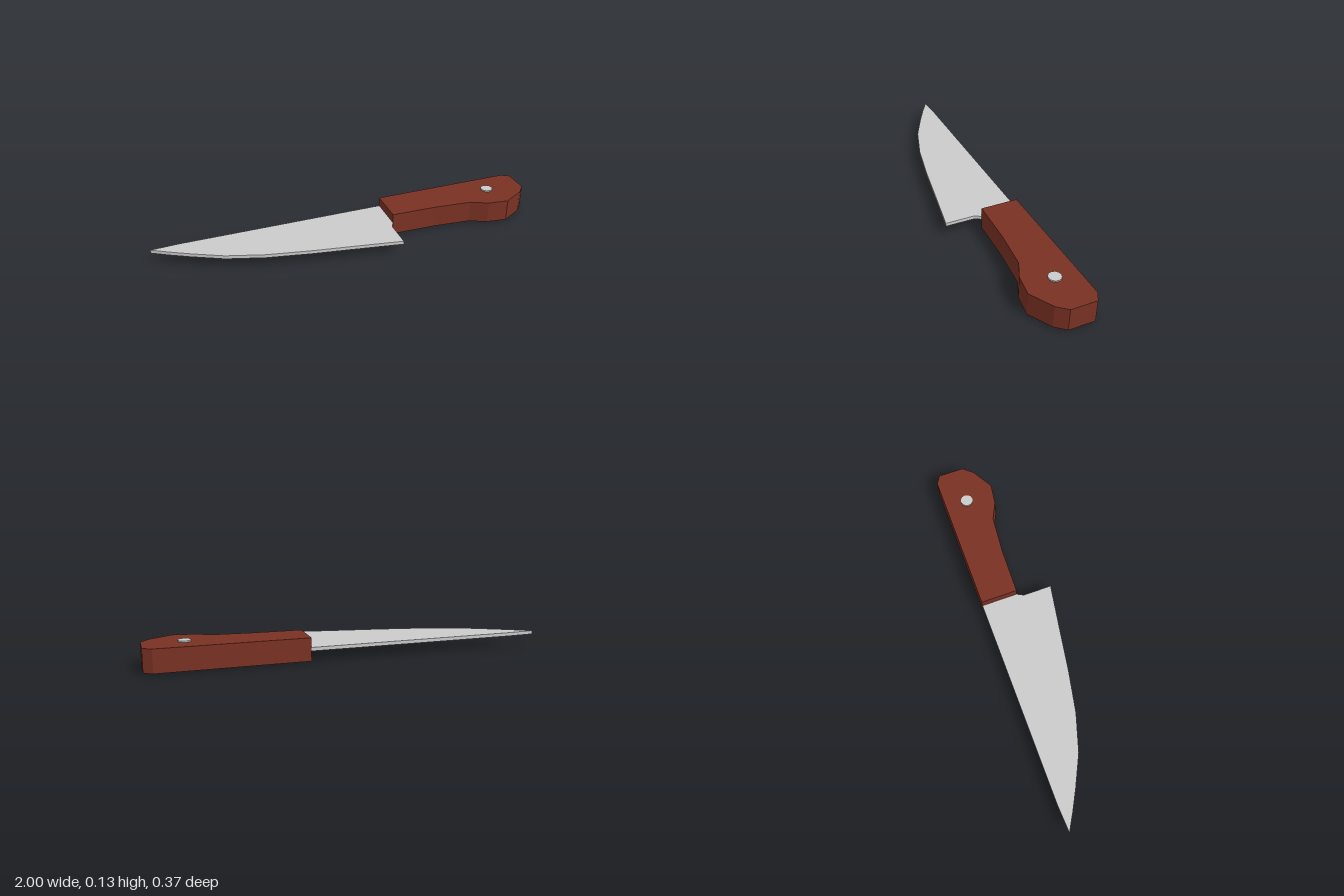
import * as THREE from 'three';

const steel = new THREE.MeshStandardMaterial({ color: 0xcccccc, flatShading: true });
const wood = new THREE.MeshStandardMaterial({ color: 0x7a3124, flatShading: true });

// Flat slab lying in the ground plane: outline is [x, z], spanning y0 to y1
function slab(name, outline, y0, y1, material) {
  const shape = new THREE.Shape(outline.map(([x, z]) => new THREE.Vector2(x, -z)));
  const geometry = new THREE.ExtrudeGeometry(shape, { depth: y1 - y0, bevelEnabled: false });
  geometry.rotateX(-Math.PI / 2);
  geometry.translate(0, y0, 0);
  const mesh = new THREE.Mesh(geometry, material);
  mesh.name = name;
  return mesh;
}

export function createModel() {
  const knife = new THREE.Group();
  knife.name = 'knife';

  // Blade: straight spine at the back, curved edge, notched heel, end hidden in the handle
  knife.add(slab('blade', [
    [-1, -0.178], [-0.86, -0.185], [0.25, -0.185], [0.25, 0.003], [0.215, 0.003],
    [0.197, 0.037], [0.197, 0.185], [-0.03, 0.145], [-0.262, 0.105], [-0.48, 0.06],
    [-0.668, 0], [-0.818, -0.075], [-0.91, -0.125],
  ], 0.057, 0.075, steel));

  // Handle with a swelling near the butt
  knife.add(slab('handle', [
    [0.215, -0.186], [0.957, -0.186], [1, -0.16], [1, -0.028], [0.957, 0.022],
    [0.845, 0.085], [0.738, 0.07], [0.65, 0.028], [0.45, 0.01], [0.215, 0.003],
  ], 0.007, 0.123, wood));

  // Rivet passing through the handle
  const rivet = new THREE.Mesh(new THREE.CylinderGeometry(0.032, 0.032, 0.13, 12), steel);
  rivet.name = 'rivet';
  rivet.position.set(0.8, 0.065, -0.069);
  knife.add(rivet);

  return knife;
}
